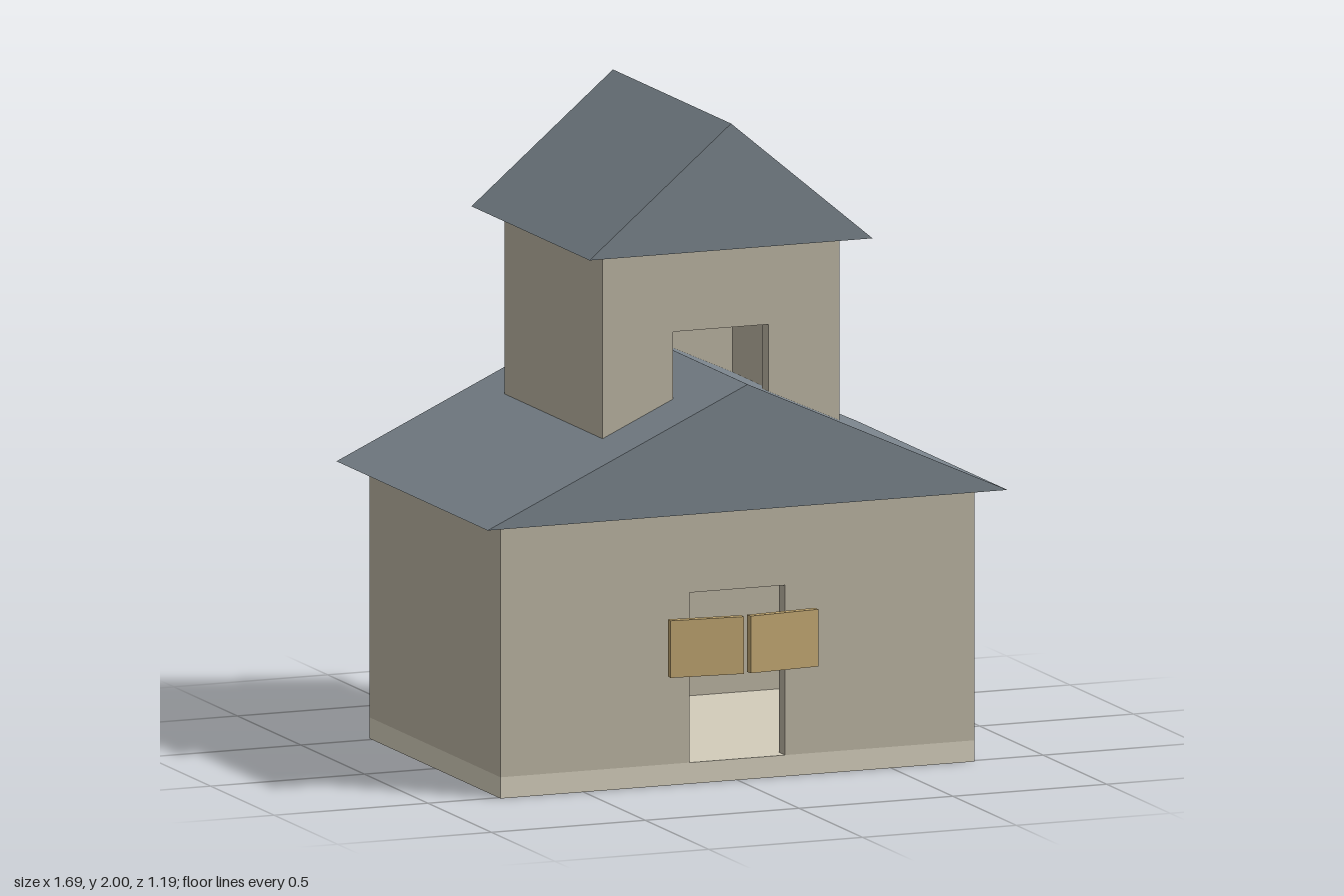
import * as THREE from 'three';

const mat = (color) => new THREE.MeshStandardMaterial({ color });
const wallMat = mat(0xb9b2a0);
const floorMat = mat(0xd2ccba);
const roofMat = mat(0x78828a);
const woodMat = mat(0xbfa570);

const WALL = 0.05;        // wall thickness
const STOREY = 0.775;     // wall height of both storeys
const ROOF = 0.385;       // rise of both roofs
const DOOR_W = 0.31, DOOR_H = 0.52;

function mesh(name, geometry, material, x = 0, y = 0, z = 0) {
  const m = new THREE.Mesh(geometry, material);
  m.name = name;
  m.position.set(x, y, z);
  return m;
}

const box = (name, w, h, d, material, x, y, z) =>
  mesh(name, new THREE.BoxGeometry(w, h, d), material, x, y, z);

// Extrude a list of front-view points, centred on z
function extrude(points, depth) {
  const shape = new THREE.Shape(points.map(([x, y]) => new THREE.Vector2(x, y)));
  return new THREE.ExtrudeGeometry(shape, { depth, bevelEnabled: false }).translate(0, 0, -depth / 2);
}

// Hollow room: front wall with a doorway, two sides and a back
function walls(name, w, d, base) {
  const g = new THREE.Group();
  g.name = name;
  g.position.y = base;
  const a = w / 2, b = DOOR_W / 2;
  const front = extrude([
    [-a, 0], [-b, 0], [-b, DOOR_H], [b, DOOR_H], [b, 0], [a, 0], [a, STOREY], [-a, STOREY],
  ], WALL);
  g.add(mesh('frontWall', front, wallMat, 0, 0, d / 2 - WALL / 2));
  g.add(box('backWall', w, STOREY, WALL, wallMat, 0, STOREY / 2, -d / 2 + WALL / 2));
  for (const [side, s] of [['left', 1], ['right', -1]]) {
    g.add(box(side + 'Wall', WALL, STOREY, d - 2 * WALL, wallMat, s * (a - WALL / 2), STOREY / 2, 0));
  }
  return g;
}

// Solid gable roof with its ridge along z
const roof = (name, w, d, base) =>
  mesh(name, extrude([[-w / 2, 0], [w / 2, 0], [0, ROOF]], d), roofMat, 0, base, 0);

export function createModel() {
  const model = new THREE.Group();
  model.name = 'house';

  // Lower storey
  const slab = 0.065, lowerTop = slab + STOREY;
  model.add(box('floor', 1.54, slab, 1.03, floorMat, 0, slab / 2, 0));
  model.add(walls('lowerWalls', 1.54, 1.03, slab));
  model.add(roof('lowerRoof', 1.69, 1.19, lowerTop));

  // Upper storey, rising through the lower roof
  model.add(walls('upperWalls', 0.77, 0.77, lowerTop));
  model.add(roof('upperRoof', 0.92, 0.93, lowerTop + STOREY));

  // Pair of swing doors, slightly ajar towards the front
  for (const [side, s] of [['left', 1], ['right', -1]]) {
    const door = box(side + 'SwingDoor', 0.23, 0.175, 0.025, woodMat, s * 0.125, 0.4275, 0.57);
    door.rotation.y = s * 0.1;
    model.add(door);
  }
  return model;
}
